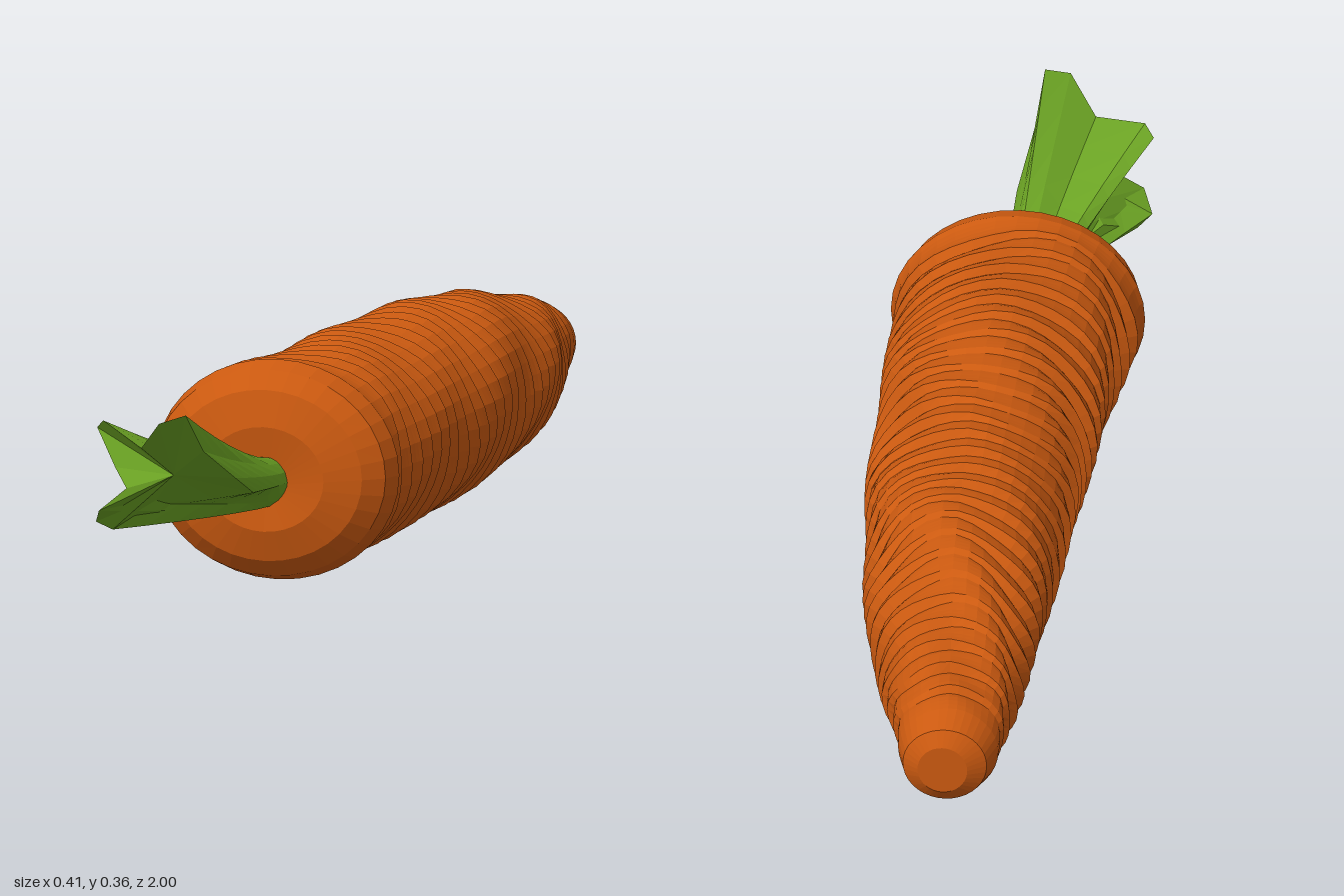
import * as THREE from 'three';

// Skins a list of equal-length rings (counter-clockwise seen from +z, advancing in +z) and caps both ends
function loft(rings, startCentre, endCentre) {
  const pos = [];
  const tri = (a, b, c) => pos.push(...a, ...b, ...c);
  const n = rings[0].length;
  for (let r = 0; r < rings.length - 1; r++) {
    const a = rings[r], b = rings[r + 1];
    for (let i = 0; i < n; i++) {
      const j = (i + 1) % n;
      tri(a[i], a[j], b[j]);
      tri(a[i], b[j], b[i]);
    }
  }
  const first = rings[0], last = rings[rings.length - 1];
  for (let i = 0; i < n; i++) {
    const j = (i + 1) % n;
    tri(first[j], first[i], startCentre);
    tri(last[i], last[j], endCentre);
  }
  const g = new THREE.BufferGeometry();
  g.setAttribute('position', new THREE.Float32BufferAttribute(pos, 3));
  g.computeVertexNormals(); // unshared corners give faceted shading
  return g;
}

// Root outline: z, left x, right x, bottom y, top y
const PROFILE = [
  [-1.0, -0.05, 0.03, 0.11, 0.19],
  [-0.985, -0.08, 0.055, 0.09, 0.215],
  [-0.94, -0.095, 0.067, 0.077, 0.23],
  [-0.8, -0.115, 0.105, 0.052, 0.265],
  [-0.6, -0.13, 0.15, 0.026, 0.305],
  [-0.4, -0.142, 0.172, 0.013, 0.33],
  [-0.2, -0.155, 0.19, 0.01, 0.342],
  [0.0, -0.165, 0.197, 0.009, 0.348],
  [0.2, -0.175, 0.197, 0.006, 0.35],
  [0.4, -0.198, 0.2, 0.002, 0.358],
  [0.475, -0.206, 0.203, 0.0, 0.358],
  [0.515, -0.196, 0.192, 0.012, 0.347],
  [0.54, -0.165, 0.16, 0.04, 0.318],
  [0.555, -0.1, 0.1, 0.09, 0.26],
  [0.548, -0.04, 0.04, 0.135, 0.2],
];

function outlineAt(z) {
  let k = 0;
  while (k < 9 && z > PROFILE[k + 1][0]) k++;
  const a = PROFILE[k], b = PROFILE[k + 1];
  const t = (z - a[0]) / (b[0] - a[0]);
  return a.map((v, i) => v + (b[i] - v) * t);
}

function rootGeometry() {
  const SIDES = 36, RIDGES = 27, STEPS = 5, Z0 = -0.94, Z1 = 0.475;
  const depths = [0, 0.004, 0.008, 0.012, 0.018]; // each ridge swells, then drops into a groove

  const ring = ([z, l, r, b, t], depth, wobble) => Array.from({ length: SIDES }, (_, i) => {
    const a = (i / SIDES) * Math.PI * 2;
    const c = Math.cos(a), s = Math.sin(a);
    const groove = depth * (0.75 + 0.35 * Math.sin(3 * a + 11 * z)) * (1 - 0.35 * Math.max(0, s));
    const rough = 0.003 * (1 + Math.sin(5 * a + 17 * z)) * wobble;
    const k = groove + rough;
    const dz = wobble * (0.01 * Math.sin(3 * a + 5 * z) + 0.008 * Math.sin(2 * a - 9 * z)
      + 0.012 * Math.max(0, s) * (1 - Math.abs(c)));
    return [(l + r) / 2 + c * ((r - l) / 2 - k), (b + t) / 2 + s * ((t - b) / 2 - k), z + dz];
  });

  const rings = [ring(PROFILE[0], 0, 0), ring(PROFILE[1], 0, 0)];
  const total = RIDGES * STEPS;
  for (let i = 0; i <= total; i++) {
    const z = Z0 + ((Z1 - Z0) * i) / total;
    const fade = Math.min(1, (i + 1) / 8, (total - i) / 5);
    rings.push(ring(outlineAt(z), depths[i % STEPS] * fade, fade));
  }
  PROFILE.slice(11).forEach((p) => rings.push(ring(p, 0, 0)));
  return loft(rings, [-0.01, 0.15, -1.0], [0, 0.168, 0.545]);
}

// Lobed rim of the leafy top, counter-clockwise from its highest tip
const LEAF_RIM = [
  [0.0, 0.348, 0.985], [-0.04, 0.335, 1.0], [-0.085, 0.285, 0.95],
  [-0.17, 0.315, 0.88], [-0.186, 0.3, 0.86], [-0.15, 0.24, 0.88],
  [-0.125, 0.21, 0.9], [-0.165, 0.175, 0.92], [-0.182, 0.15, 0.88],
  [-0.16, 0.135, 0.86], [-0.11, 0.17, 0.8], [-0.03, 0.17, 0.73],
  [0.03, 0.18, 0.71], [0.03, 0.22, 0.81], [0.01, 0.28, 0.92],
];

function leafGeometry() {
  const rings = [];
  for (let s = 0; s <= 6; s++) {
    const t = s / 6, spread = Math.pow(t, 1.35);
    rings.push(LEAF_RIM.map(([x, y, z], i) => {
      const a = ((75 + i * 24) * Math.PI) / 180;
      const bx = 0.038 * Math.cos(a), by = 0.168 + 0.04 * Math.sin(a);
      return [bx + (x - bx) * spread, by + (y - by) * spread, 0.53 + (z - 0.53) * t];
    }));
  }
  return loft(rings, [0, 0.168, 0.53], [-0.055, 0.23, 0.87]);
}

export function createModel() {
  const orange = new THREE.MeshStandardMaterial({ color: 0xcc5a10 });
  orange.name = 'carrot orange';
  const green = new THREE.MeshStandardMaterial({ color: 0x6ca424, side: THREE.DoubleSide });
  green.name = 'leaf green';

  const group = new THREE.Group();
  group.name = 'carrot';
  const add = (name, geometry, material) => {
    const mesh = new THREE.Mesh(geometry, material);
    mesh.name = name;
    group.add(mesh);
  };
  add('ridgedRoot', rootGeometry(), orange);
  add('leafyStem', leafGeometry(), green);
  return group;
}
